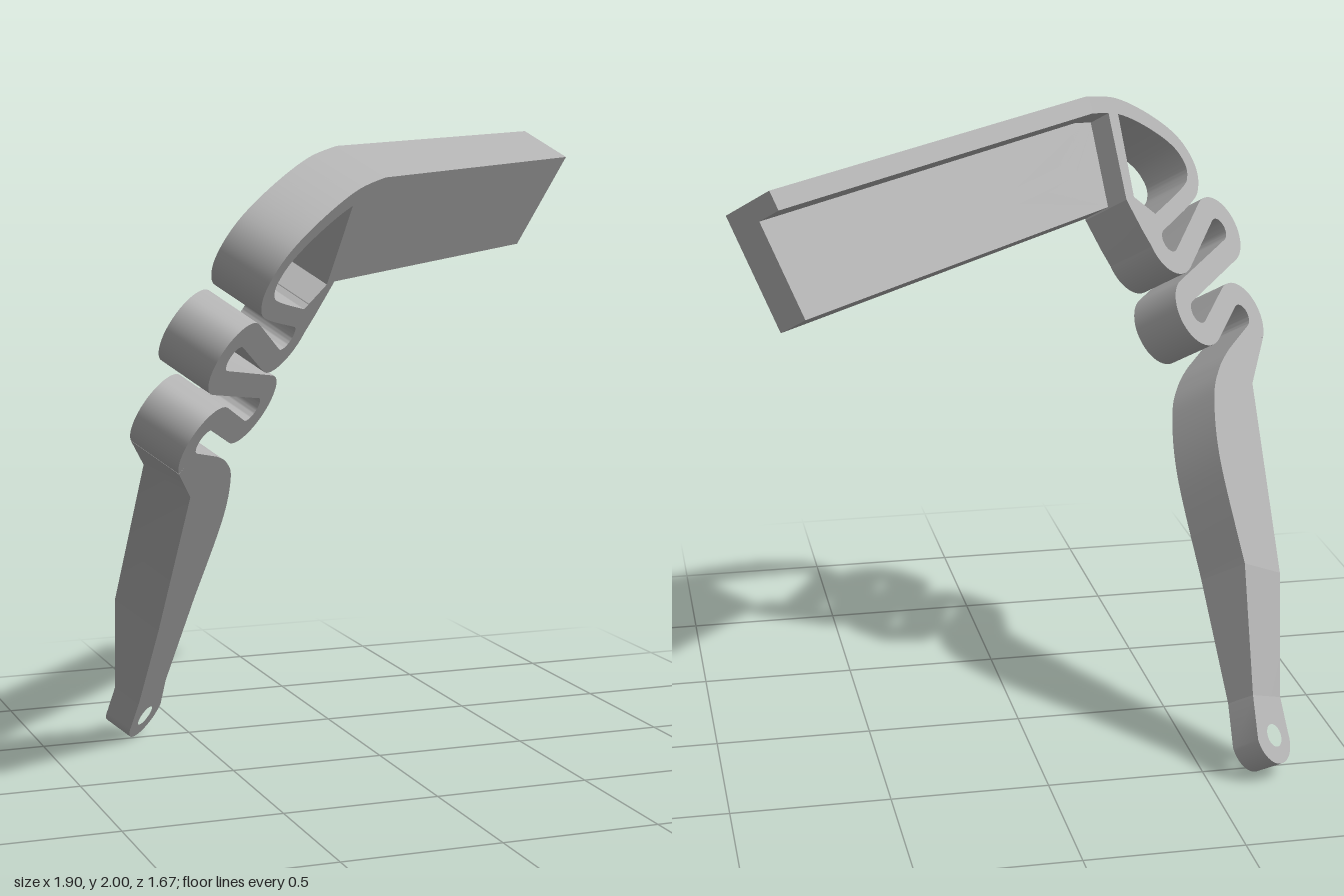
import * as THREE from 'three';
import { toCreasedNormals } from 'three/addons/utils/BufferGeometryUtils.js';

const DEPTH = 0.178; // full depth of the bracket
const TIP_DEPTH = 0.1; // depth of the plate and of the leg tip
const V = (x, y) => new THREE.Vector2(x, y);
const pts = (list) => list.map(([x, y]) => V(x, y));

// Points on a circular arc, angles in degrees
function arc(cx, cy, r, from, to, n = 24) {
  return Array.from({ length: n + 1 }, (_, i) => {
    const t = THREE.MathUtils.degToRad(from + ((to - from) * i) / n);
    return V(cx + r * Math.cos(t), cy + r * Math.sin(t));
  });
}

// Closed outline of a strip of constant thickness along a centreline
function ribbon(line, thickness) {
  const left = [], right = [];
  line.forEach((p, i) => {
    const a = line[Math.max(i - 1, 0)], b = line[Math.min(i + 1, line.length - 1)];
    const d = b.clone().sub(a).normalize().multiplyScalar(thickness / 2);
    left.push(V(p.x - d.y, p.y + d.x));
    right.push(V(p.x + d.y, p.y - d.x));
  });
  return left.concat(right.reverse());
}

// Prism from z = -depth to z = 0, with round holes
function prism(outline, depth, holes = [], r = 0.037) {
  const shape = new THREE.Shape(outline);
  for (const [x, y] of holes) {
    shape.holes.push(new THREE.Path().absarc(x, y, r, 0, Math.PI * 2, true));
  }
  return new THREE.ExtrudeGeometry(shape, { depth, bevelEnabled: false, curveSegments: 16 })
    .translate(0, 0, -depth);
}

export function createModel() {
  const grey = new THREE.MeshStandardMaterial({ color: 0xb0b0b0 });
  grey.name = 'grey';
  const bracket = new THREE.Group();
  bracket.name = 'bracket';
  const add = (name, geometry) => {
    const mesh = new THREE.Mesh(toCreasedNormals(geometry, 0.5), grey);
    mesh.name = name;
    bracket.add(mesh);
  };

  // Drilled mounting plate
  const holes = [0, 1, 2, 3, 4].map((i) => [-0.408 + 0.36 * i, 1.562]);
  add('mountingPlate', prism(
    pts([[-0.56, 1.418], [1.142, 1.418], [1.142, 1.75], [-0.7, 1.73]]), TIP_DEPTH, holes));

  // Top flange running on into the large loop
  const loop = new THREE.SplineCurve(pts([
    [-0.56, 1.747], [-0.72, 1.715], [-0.865, 1.635], [-0.968, 1.54],
    [-0.993, 1.45], [-0.957, 1.387], [-0.88, 1.353], [-0.645, 1.303],
  ])).getPoints(56);
  add('flangeAndLoop', prism(ribbon([V(1.142, 1.747), ...loop], 0.06), DEPTH));

  // Slanted web between plate and spring
  add('web', prism(pts([
    [-0.72, 1.73], [-0.57, 1.412], [-0.649, 1.333], [-0.62, 1.27], [-0.541, 1.235],
    [-0.53, 1.3], [-0.52, 1.412], [-0.66, 1.73],
  ]), DEPTH));

  // Serpentine spring: four hairpin turns joined by straight strips
  const spring = [
    ...arc(-0.66, 1.235, 0.08, 78, -114),
    ...arc(-0.985, 1.205, 0.08, 66, 260),
    ...arc(-0.635, 0.98, 0.08, 80, -111.7),
    ...arc(-0.88, 0.905, 0.08, 68.3, 238),
  ];
  add('spring', prism(ribbon(spring, 0.08), DEPTH));

  // Leg: curved upper part
  const back = new THREE.SplineCurve(pts([
    [-0.71, 0.823], [-0.61, 0.785], [-0.5, 0.707], [-0.37, 0.52], [-0.24, 0.19],
  ])).getPoints(30);
  add('upperLeg', prism([
    ...pts([[-0.901, 0.871], [-0.885, 0.865]]), ...back,
    ...pts([[-0.407, 0.1], [-0.755, 0.685], [-0.944, 0.803]]),
  ], DEPTH));

  // Leg: middle part, thinning towards the tip
  const middle = prism(pts([[-0.24, 0.19], [-0.08, -0.19], [-0.217, -0.25], [-0.407, 0.1]]), DEPTH);
  const pos = middle.attributes.position;
  for (let i = 0; i < pos.count; i++) {
    if (pos.getZ(i) < -0.01 && pos.getY(i) < 0) pos.setZ(i, -TIP_DEPTH);
  }
  middle.computeVertexNormals();
  add('middleLeg', middle);

  // Leg: rounded tip with its hole
  add('legTip', prism([
    V(-0.08, -0.19), ...arc(-0.085, -0.337, 0.088, 15, -165), V(-0.217, -0.25),
  ], TIP_DEPTH, [[-0.093, -0.336]]));

  // Tilt the flat profile into place
  const u = new THREE.Vector3(0.68, 0.008, -0.73).normalize();
  const n = new THREE.Vector3(0.633, -0.501, 0.584);
  n.addScaledVector(u, -n.dot(u)).normalize();
  const v = new THREE.Vector3().crossVectors(n, u);
  bracket.quaternion.setFromRotationMatrix(new THREE.Matrix4().makeBasis(u, v, n));
  bracket.position.copy(n).multiplyScalar(-0.742);

  const model = new THREE.Group();
  model.name = 'springBracket';
  model.add(bracket);
  return model;
}
